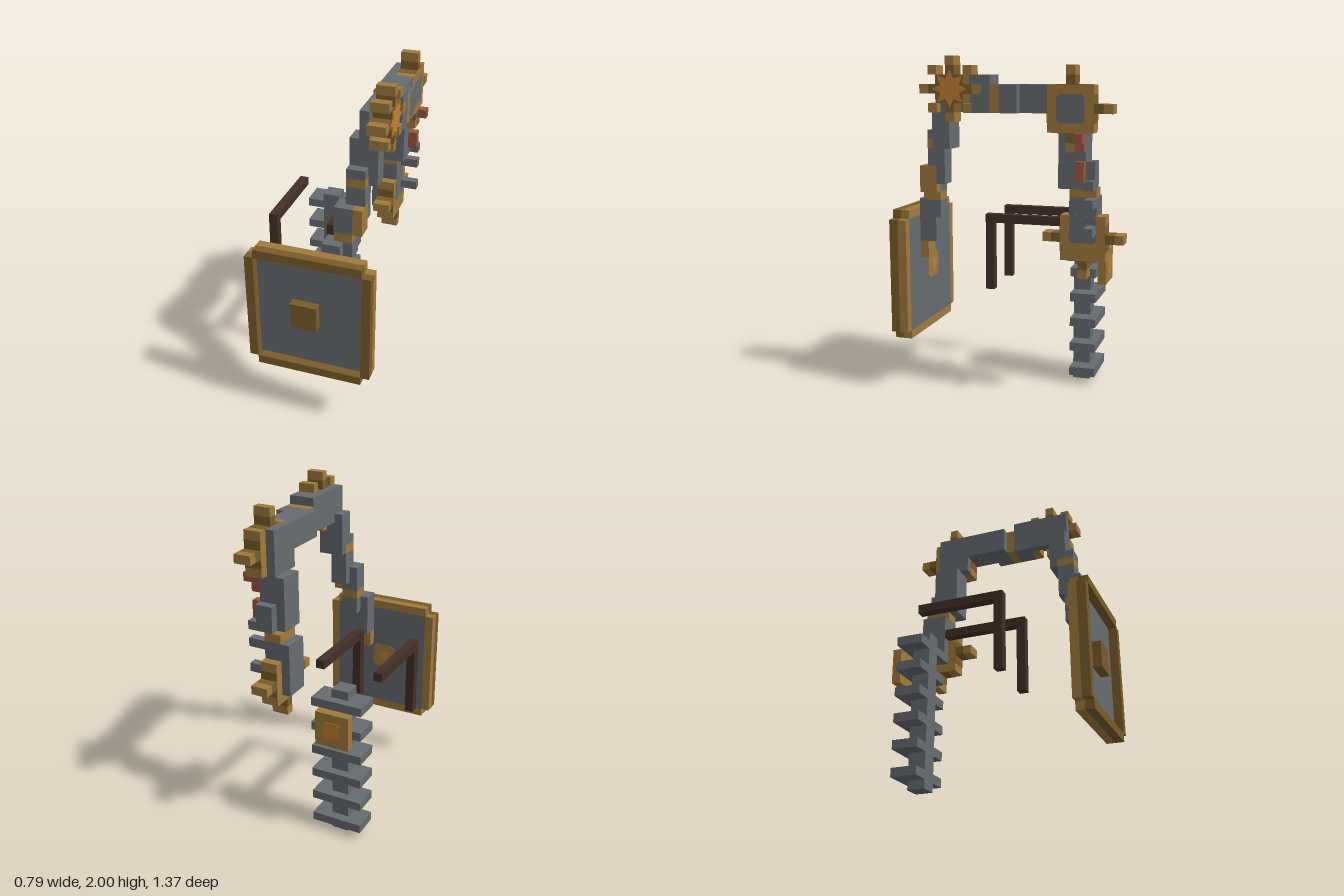
import * as THREE from 'three';

const U = 2 / 38; // one block unit
const mat = (name, color) => {
  const m = new THREE.MeshStandardMaterial({ color });
  m.name = name;
  return m;
};

export function createModel() {
  const model = new THREE.Group();
  model.name = 'mechanicalArmAndShield';
  const slate = mat('slate', 0x666c70), gold = mat('gold', 0xa07a3c), dark = mat('darkGold', 0x7a5c2a);
  const brown = mat('darkLeather', 0x432f27), red = mat('redCopper', 0x9a5640), orange = mat('orange', 0xc08033);

  const group = (name) => {
    const g = new THREE.Group();
    g.name = name;
    model.add(g);
    return g;
  };
  // Box from block ranges; x counts from the model's right edge
  const box = (parent, name, m, x0, x1, y0, y1, z0, z1) => {
    const mesh = new THREE.Mesh(new THREE.BoxGeometry((x1 - x0) * U, (y1 - y0) * U, (z1 - z0) * U), m);
    mesh.position.set(((x0 + x1) / 2 - 7.5) * U, ((y0 + y1) / 2) * U, ((z0 + z1) / 2) * U);
    mesh.name = name;
    parent.add(mesh);
    return mesh;
  };
  // Thin flat plate with chamfered or star outline, turned to face a direction
  const plate = (parent, name, m, points, x, y, z, rotY) => {
    const shape = new THREE.Shape(points.map(([a, b]) => new THREE.Vector2(a * U, b * U)));
    const mesh = new THREE.Mesh(new THREE.ExtrudeGeometry(shape, { depth: 0.003, bevelEnabled: false }), m);
    mesh.position.set((x - 7.5) * U, y * U, z * U);
    mesh.rotation.y = rotY;
    mesh.name = name;
    parent.add(mesh);
  };
  const octagon = (r, c = r * 0.3) => [[r, -r + c], [r, r - c], [r - c, r], [-r + c, r], [-r, r - c], [-r, -r + c], [-r + c, -r], [r - c, -r]];
  const star = (r, inner) => Array.from({ length: 16 }, (_, i) => {
    const a = (i * Math.PI) / 8, d = i % 2 ? inner : r;
    return [Math.cos(a) * d, Math.sin(a) * d];
  });
  const LEFT = Math.PI / 2, BACK = Math.PI;

  // Shield: panel, boss and two-layer frame
  const shield = group('shield');
  box(shield, 'shieldPanel', slate, 2, 14, 7, 20, 11, 12);
  box(shield, 'shieldBoss', dark, 6, 9, 12, 15, 12, 13);
  for (const [m, z] of [[gold, 11], [dark, 12]]) {
    for (const y of [6, 20]) box(shield, 'shieldFrameBar', m, 2, 14, y, y + 1, z, z + 1);
    for (const x of [1, 14]) box(shield, 'shieldFrameSide', m, x, x + 1, 7, 20, z, z + 1);
  }
  plate(shield, 'shieldBackPlate', gold, octagon(1.5), 7.5, 13.5, 11, BACK);
  plate(shield, 'shieldBackRivet', orange, octagon(0.5), 7.5, 13.5, 10.94, BACK);

  // Spine with ribs and power box
  const spine = group('spine');
  box(spine, 'spineColumn', slate, 3, 5, 0, 18, -8, -6);
  for (let y = 1; y < 18; y += 3) box(spine, 'rib', slate, 1, 7, y, y + 1, -9, -6);
  box(spine, 'backBox', gold, 2, 6, 12, 16, -10, -9);
  plate(spine, 'backBoxLamp', orange, octagon(1), 4, 14, -10, BACK);

  // Shoulder straps
  const straps = group('straps');
  for (const x of [0, 7]) {
    box(straps, 'strapTop', brown, x, x + 1, 19, 20, -6, 4);
    box(straps, 'strapFront', brown, x, x + 1, 11, 19, 3, 4);
  }

  // Large gears: square hub, four two-step teeth, dark rim patches
  const bigGear = (name, x, cy, cz) => {
    const g = group(name);
    box(g, 'gearHub', gold, x, x + 2, cy - 2.5, cy + 2.5, cz - 2.5, cz + 2.5);
    const e = 0.02;
    for (const s of [-1, 1]) {
      for (const [m, d] of [[dark, 3], [gold, 4]]) {
        box(g, 'gearTooth', m, x + e, x + 2 - e, cy + s * d - 0.5, cy + s * d + 0.5, cz - 0.5, cz + 0.5);
        box(g, 'gearTooth', m, x + e, x + 2 - e, cy - 0.5, cy + 0.5, cz + s * d - 0.5, cz + s * d + 0.5);
      }
      for (const t of [-1, 1]) {
        box(g, 'rimPatch', dark, x + e, x + 2 - e, cy + s * 2.5 - 0.04, cy + s * 2.5 + 0.04, cz + t - 0.5, cz + t + 0.5);
        box(g, 'rimPatch', dark, x + e, x + 2 - e, cy + t - 0.5, cy + t + 0.5, cz + s * 2.5 - 0.04, cz + s * 2.5 + 0.04);
      }
    }
    return g;
  };
  const shoulder = bigGear('shoulderGear', 10, 18.5, -8.5);
  plate(shoulder, 'gearFace', slate, octagon(1.5, 0.3), 12, 19.5, -8.5, LEFT);
  const elbow = bigGear('elbowGear', 12, 32.5, -7.5);
  plate(elbow, 'gearFace', slate, octagon(1.5, 0.3), 14, 32.5, -7.5, LEFT);

  // Upper arm, leaning outwards as it rises
  const upper = group('upperArm');
  box(upper, 'shoulderBlock', slate, 9, 12, 21, 23, -10, -7);
  box(upper, 'shoulderBacking', slate, 9, 10, 17, 21, -10, -7);
  box(upper, 'upperArmBand', gold, 10, 12, 23, 24, -10, -7);
  box(upper, 'upperArmBlock', slate, 10, 13, 24, 30, -9, -6);
  box(upper, 'upperArmRear', slate, 11, 13, 24, 27, -10, -9);
  box(upper, 'elbowBacking', slate, 11, 12, 30, 35, -9, -5);
  for (const y of [19, 22]) box(upper, 'armKnob', slate, 12, 14, y, y + 1, -10, -9);
  box(upper, 'armKnob', slate, 13, 14, 24, 25, -10, -9);
  box(upper, 'copperValve', red, 13, 15, 29, 30, -9, -8);
  box(upper, 'copperPipe', red, 13, 14, 28, 29, -9, -8);
  box(upper, 'copperPipe', red, 13, 14, 25, 27, -9, -8);

  // Forearm
  const fore = group('forearm');
  box(fore, 'forearmRear', slate, 11, 14, 32, 35, -5, 0);
  box(fore, 'forearmSleeve', slate, 12, 15, 32, 35, -2, 0);
  box(fore, 'forearmBand', gold, 12, 15, 32, 35, 0, 1);
  box(fore, 'forearmFront', slate, 12, 15, 32, 36, 1, 3);
  box(fore, 'wristBlock', slate, 12, 13, 32, 36, 3, 8);
  plate(fore, 'forearmRivet', gold, octagon(0.5), 15, 34.5, 2.5, LEFT);

  // Wrist gear with eight teeth
  const wrist = group('wristGear');
  const tooth = (m, dy, dz) => box(wrist, 'wristTooth', m, 13.02, 14.98, 34 + dy, 35 + dy, 5 + dz, 6 + dz);
  box(wrist, 'wristHub', dark, 13, 15, 33, 36, 4, 7);
  for (const s of [-1, 1]) {
    for (const [m, d] of [[dark, 2], [gold, 3]]) {
      tooth(m, s * d, 0);
      tooth(m, 0, s * d);
    }
    for (const t of [-1, 1]) tooth(gold, s * 2, t * 2);
  }
  plate(wrist, 'wristStar', orange, star(2, 1.15), 15, 34.5, 5.5, LEFT);

  // Hanging arm that carries the shield
  const hang = group('shieldArm');
  box(hang, 'hangerTop', slate, 11, 14, 28, 33, 6, 8);
  box(hang, 'hangerUpper', slate, 11, 13, 29, 30, 7, 9);
  box(hang, 'hangerUpperBand', gold, 10.98, 13.02, 28, 29, 6.98, 9);
  box(hang, 'hangerUpper', slate, 11, 13, 24, 28, 7, 9);
  box(hang, 'hangerMiddle', slate, 10, 12, 23, 26, 8, 10);
  box(hang, 'hangerLowerBand', gold, 10, 12, 22, 23, 8, 10);
  box(hang, 'hangerMiddle', slate, 10, 12, 20, 22, 8, 10);
  box(hang, 'hangerClamp', gold, 12, 13.03, 23, 26, 8, 10);
  box(hang, 'hangerLower', slate, 9, 11, 17, 22, 9, 11);
  box(hang, 'shieldMount', gold, 9, 11, 15, 17, 10, 11);

  return model;
}
